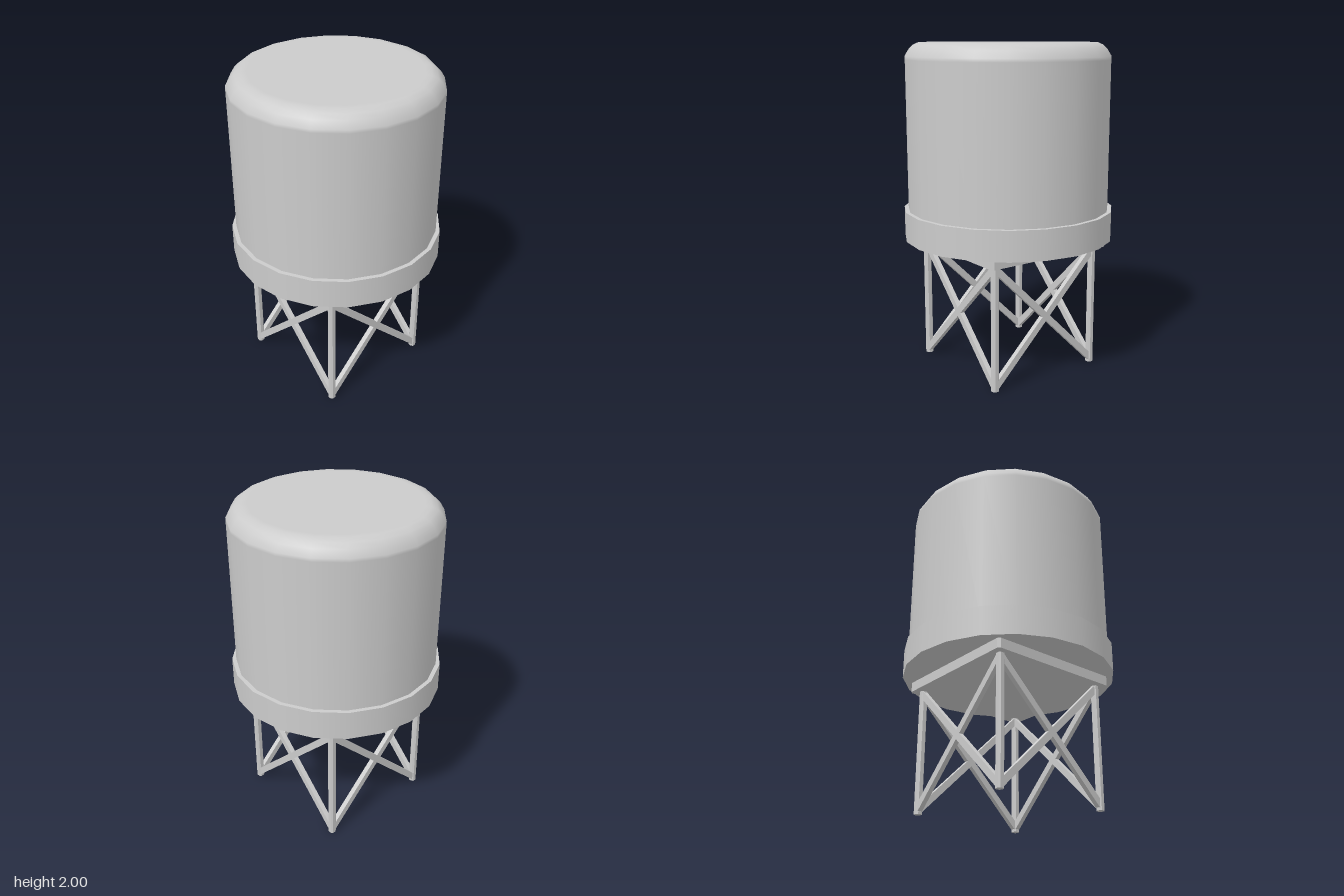
import * as THREE from 'three';

const SIDES = 20;
const LEG = 0.37; // leg offset from the centre
const DECK = 0.76; // underside of the platform

const material = new THREE.MeshStandardMaterial({ color: 0xcccccc });

function add(parent, name, geometry) {
  const mesh = new THREE.Mesh(geometry, material);
  mesh.name = name;
  parent.add(mesh);
  return mesh;
}

// Upright square prism with clipped vertical corners, standing on y = 0
function clippedPrism(half, clip, height) {
  const a = half, b = half - clip;
  const outline = [[a, -b], [a, b], [b, a], [-b, a], [-a, b], [-a, -b], [-b, -a], [b, -a]];
  const shape = new THREE.Shape(outline.map(([x, y]) => new THREE.Vector2(x, y)));
  const geometry = new THREE.ExtrudeGeometry(shape, { depth: height, bevelEnabled: false });
  return geometry.rotateX(-Math.PI / 2);
}

export function createModel() {
  const model = new THREE.Group();
  model.name = 'waterTower';

  // Tank with a rounded shoulder and a flat top
  const profile = [
    [0.62, 0.9], [0.62, 1.9], [0.62, 1.92], [0.595, 1.96], [0.57, 1.985], [0.535, 2], [0.5, 2], [0, 2],
  ].map(([r, y]) => new THREE.Vector2(r, y));
  add(model, 'tank', new THREE.LatheGeometry(profile, SIDES));

  // Wide band around the tank's foot
  add(model, 'baseBand', new THREE.CylinderGeometry(0.645, 0.645, 0.18, SIDES)).position.y = 0.91;

  // Square platform under the tank
  add(model, 'platform', clippedPrism(0.43, 0.015, 0.06)).position.y = DECK;

  // Four legs
  for (const x of [-LEG, LEG]) {
    for (const z of [-LEG, LEG]) {
      add(model, 'leg', clippedPrism(0.021, 0.01, DECK)).position.set(x, 0, z);
    }
  }

  // Crossed braces on each of the four sides
  const rise = DECK - 0.04;
  const length = Math.hypot(2 * LEG, rise);
  const angle = Math.atan2(rise, 2 * LEG);
  for (let i = 0; i < 4; i++) {
    const side = new THREE.Group();
    side.name = 'crossBrace';
    side.rotation.y = i * Math.PI / 2;
    for (const s of [-1, 1]) {
      const bar = add(side, 'braceBar', new THREE.BoxGeometry(length, 0.04, 0.03));
      bar.position.set(0, 0.385, LEG);
      bar.rotation.z = s * angle;
    }
    model.add(side);
  }

  return model;
}
